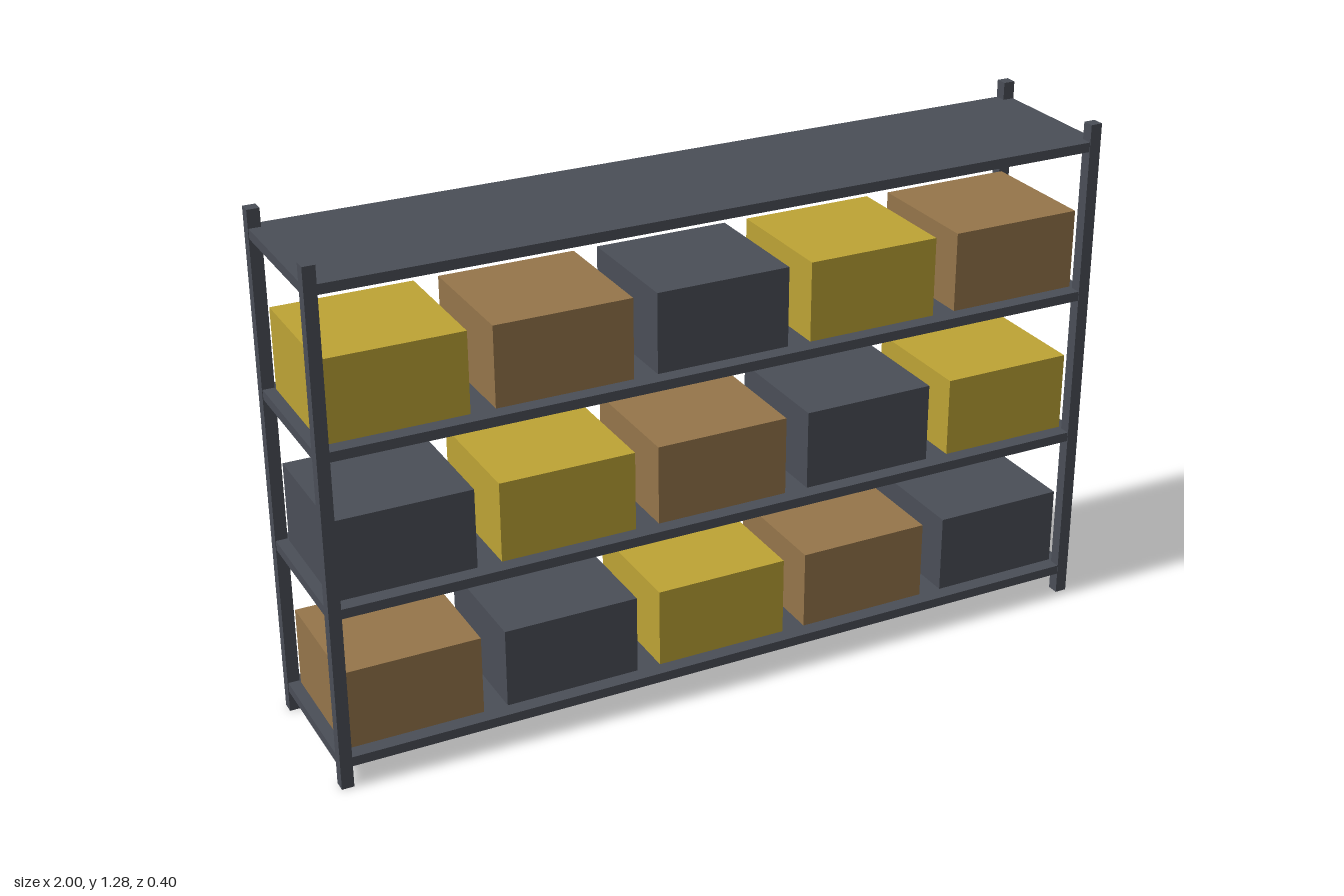
import * as THREE from 'three';

export function createModel() {
  const model = new THREE.Group();
  model.name = 'storageRack';

  const material = (name, color) => {
    const m = new THREE.MeshStandardMaterial({ color });
    m.name = name;
    return m;
  };
  const steel = material('dark steel', 0x4a4e57);
  const brown = material('cardboard brown', 0x95754a);
  const yellow = material('mustard yellow', 0xbda335);

  const addBox = (name, size, position, mat) => {
    const mesh = new THREE.Mesh(new THREE.BoxGeometry(...size), mat);
    mesh.name = name;
    mesh.position.set(...position);
    model.add(mesh);
  };

  // Four corner posts
  const postHeight = 1.283, post = 0.03;
  for (const sx of [-1, 1]) {
    for (const sz of [-1, 1]) {
      const name = (sz > 0 ? 'front' : 'back') + (sx > 0 ? 'Left' : 'Right') + 'Post';
      addBox(name, [post, postHeight, post],
        [sx * (1 - post / 2), postHeight / 2, sz * (0.2 - post / 2)], steel);
    }
  }

  // Four shelves, a hair inside the posts so that no faces coincide
  const shelfThickness = 0.024;
  const shelfTops = [0.078, 0.465, 0.852, 1.239];
  shelfTops.forEach((top, i) => {
    addBox(`shelf${i + 1}`, [1.997, shelfThickness, 0.397],
      [0, top - shelfThickness / 2, 0], steel);
  });

  // Five crates on each of the lower three shelves, colours shifting by row
  const crateColors = [brown, steel, yellow];
  for (let row = 0; row < 3; row++) {
    for (let i = 0; i < 5; i++) {
      addBox(`crate${row + 1}_${i + 1}`, [0.34, 0.2, 0.32],
        [(i - 2) * 0.4, shelfTops[row] + 0.1, 0], crateColors[(i + row) % 3]);
    }
  }

  return model;
}
